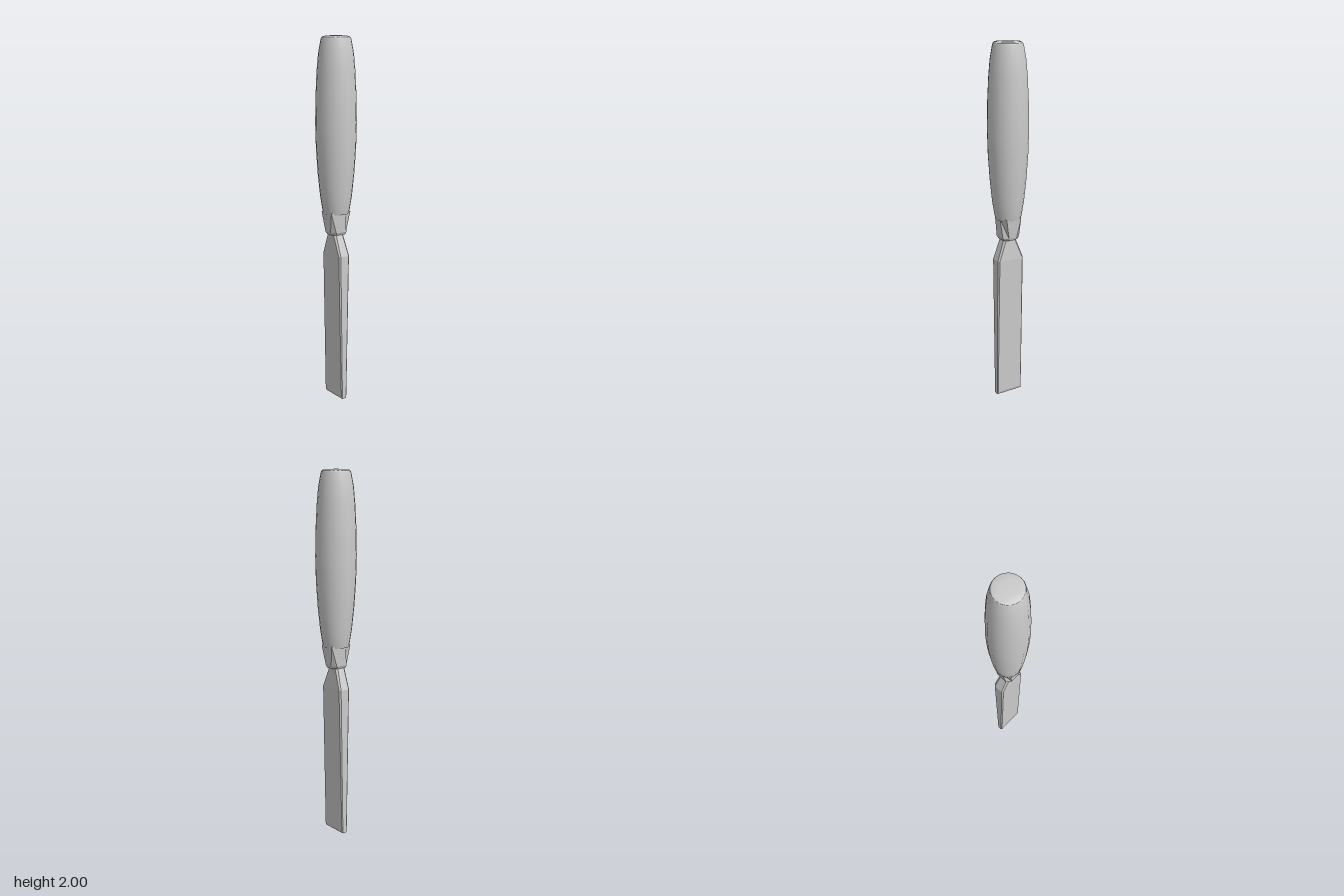
import * as THREE from 'three';

const grey = (flat = false) =>
  new THREE.MeshStandardMaterial({ color: 0xcccccc, flatShading: flat, side: THREE.DoubleSide });

// Skins a stack of equal-sized rings of [x, y, z] points and closes both ends.
function loft(rings) {
  const out = [], n = rings[0].length;
  const tri = (...pts) => pts.forEach((p) => out.push(...p));
  for (let r = 0; r < rings.length - 1; r++) {
    for (let i = 0; i < n; i++) {
      const j = (i + 1) % n, lo = rings[r], hi = rings[r + 1];
      tri(lo[i], hi[i], hi[j]);
      tri(lo[i], hi[j], lo[j]);
    }
  }
  const first = rings[0], last = rings[rings.length - 1];
  for (let i = 1; i < n - 1; i++) {
    tri(first[0], first[i], first[i + 1]);
    tri(last[0], last[i + 1], last[i]);
  }
  const g = new THREE.BufferGeometry();
  g.setAttribute('position', new THREE.Float32BufferAttribute(out, 3));
  g.computeVertexNormals();
  return g;
}

// Eight-sided ring: fx and fz are the half widths of the flats facing z and x.
function octagon(y, x0, x1, hz, fx, fz) {
  const c = (x0 + x1) / 2;
  return [[x1, fz], [c + fx, hz], [c - fx, hz], [x0, fz], [x0, -fz], [c - fx, -hz], [c + fx, -hz], [x1, -fz]]
    .map(([x, z]) => [x, y, z]);
}

export function createModel() {
  const model = new THREE.Group();
  const add = (name, geometry, material) => {
    const mesh = new THREE.Mesh(geometry, material);
    mesh.name = name;
    model.add(mesh);
  };
  const lathe = (pts) => new THREE.LatheGeometry(pts.map(([r, y]) => new THREE.Vector2(r, y)), 20);

  // Barrel-shaped grip
  add('handle', lathe([
    [0.069, 1.06], [0.076, 1.09], [0.087, 1.16], [0.099, 1.28], [0.108, 1.42], [0.111, 1.55],
    [0.108, 1.7], [0.102, 1.82], [0.094, 1.91], [0.081, 1.98], [0.077, 1.99],
  ]), grey());
  add('handleCap', lathe([[0.077, 1.99], [0.07, 1.997], [0.04, 2], [0, 2]]), grey());
  add('handleBase', lathe([[0, 1.06], [0.069, 1.06]]), grey());

  // Faceted collar between grip and blade
  add('collar', loft([
    octagon(0.945, -0.046, 0.046, 0.044, 0.03, 0.018),
    octagon(0.96, -0.054, 0.052, 0.051, 0.034, 0.024),
    octagon(1.07, -0.064, 0.064, 0.06, 0.016, 0.045),
  ]), grey(true));

  // Tapered blade with slim chamfers, shouldered into the neck
  add('blade', loft([
    octagon(0, -0.014, 0.013, 0.08, 0.011, 0.076),
    octagon(0.015, -0.018, 0.017, 0.08, 0.013, 0.076),
    octagon(0.83, -0.034, 0.035, 0.08, 0.026, 0.072),
    octagon(0.95, -0.036, 0.026, 0.035, 0.02, 0.024),
  ]), grey(true));

  return model;
}
